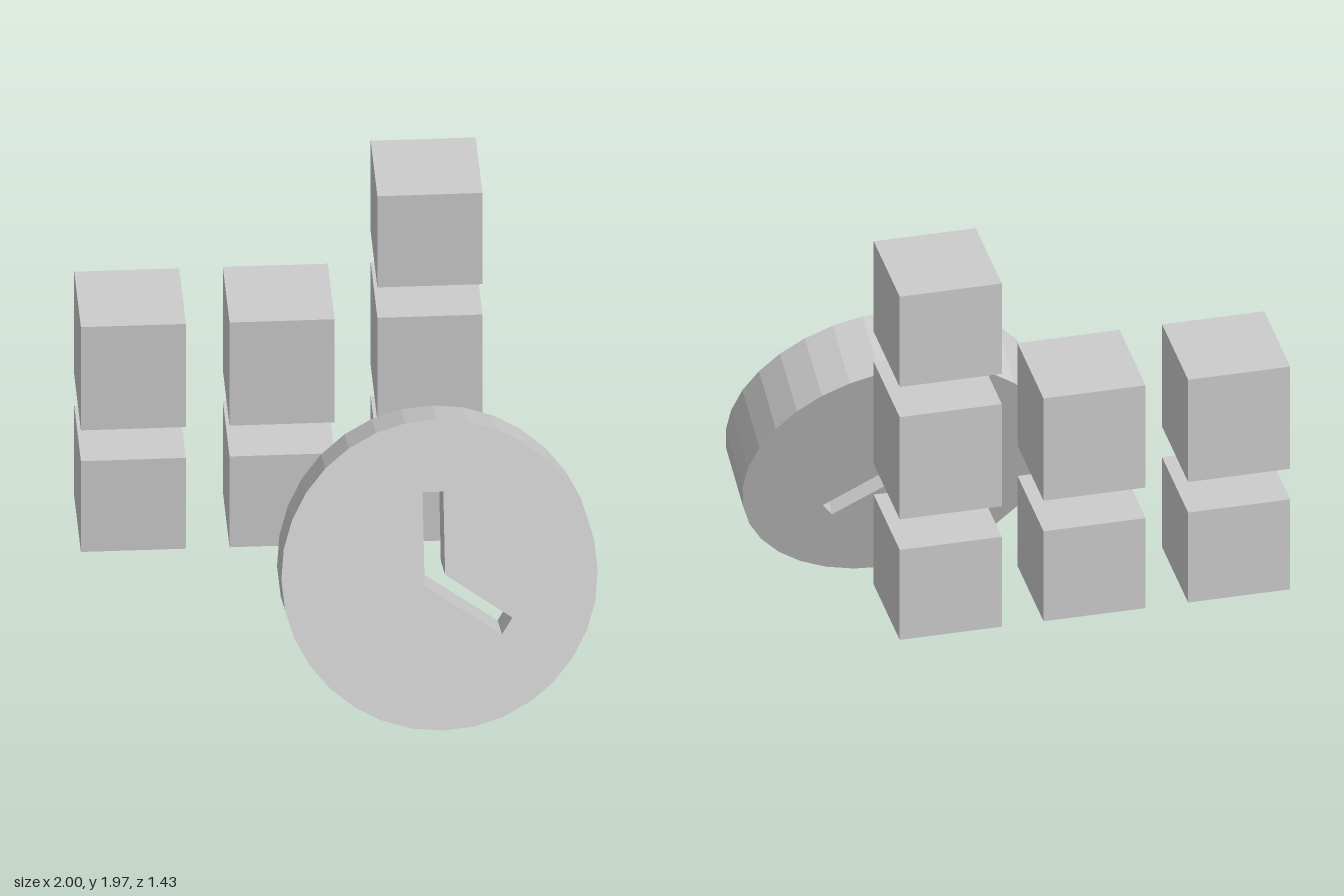
import * as THREE from 'three';

const material = new THREE.MeshStandardMaterial({ color: 0xcccccc, flatShading: true });

// Round clock disc with the two hands cut through it as one bent slot
function createClock() {
  const radius = 0.627, depth = 0.297, sides = 32;
  const rim = [];
  for (let i = 0; i < sides; i++) {
    const a = (i / sides) * Math.PI * 2;
    rim.push(new THREE.Vector2(radius * Math.cos(a), radius * Math.sin(a)));
  }
  const hands = [
    [-0.06, 0.335], [-0.06, -0.043], [0.242, -0.247],
    [0.285, -0.181], [0.022, 0], [0.022, 0.335],
  ].map(([x, y]) => new THREE.Vector2(x, y));

  const shape = new THREE.Shape(rim);
  shape.holes.push(new THREE.Path(hands));
  const geometry = new THREE.ExtrudeGeometry(shape, { depth, bevelEnabled: false });
  geometry.translate(0, 0, -depth / 2);

  const clock = new THREE.Mesh(geometry, material);
  clock.name = 'clockDisc';
  clock.position.set(0.373, 0.645, 0.36);
  clock.rotation.x = THREE.MathUtils.degToRad(-20); // leans back
  return clock;
}

// Wall of separate blocks: two full rows and one block on top
function createBlocks() {
  const blocks = new THREE.Group();
  blocks.name = 'blocks';
  const columns = [-0.792, -0.203, 0.383];
  const rows = [
    { bottom: 0.385, top: 0.803, xs: columns },
    { bottom: 0.945, top: 1.42, xs: columns },
    { bottom: 1.56, top: 1.98, xs: [columns[2]] },
  ];
  rows.forEach(({ bottom, top, xs }, row) => {
    xs.forEach((x, i) => {
      const block = new THREE.Mesh(new THREE.BoxGeometry(0.416, top - bottom, 0.43), material);
      block.name = `blockRow${row + 1}Number${i + 1}`;
      block.position.set(x, (bottom + top) / 2, -0.5);
      blocks.add(block);
    });
  });
  return blocks;
}

export function createModel() {
  const model = new THREE.Group();
  model.name = 'blocksAndClock';
  model.add(createBlocks(), createClock());
  return model;
}
